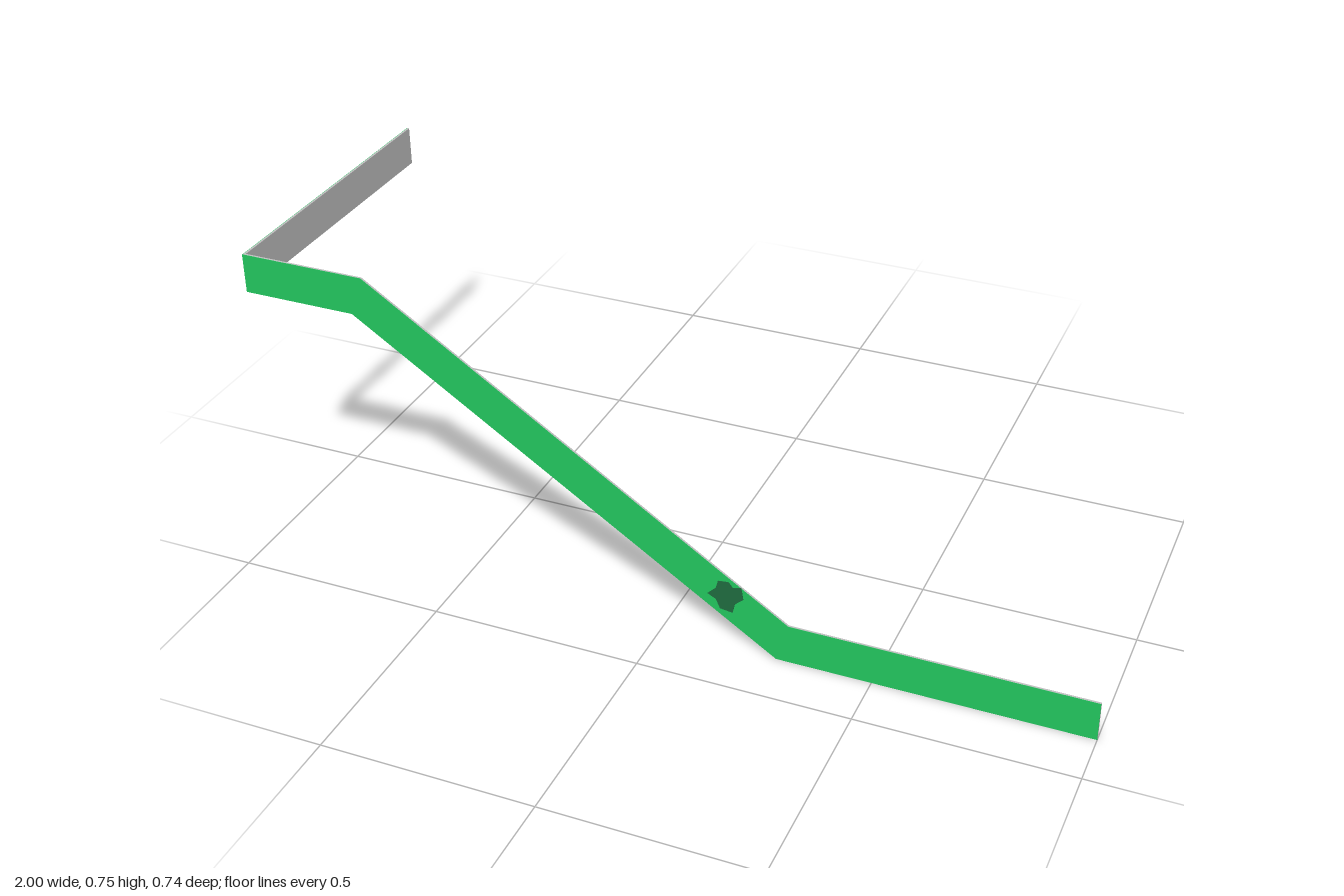
import * as THREE from 'three';

const green = new THREE.MeshStandardMaterial({ color: 0x22c55e });
green.name = 'green outer face';
const grey = new THREE.MeshStandardMaterial({ color: 0xc0c0c0 });
grey.name = 'grey backing';
const darkGreen = new THREE.MeshStandardMaterial({ color: 0x1f6b3f });
darkGreen.name = 'dark green mark';

const FRONT = 0.369, BACK = -0.369, THICK = 0.006, SKIN = 0.001;
const TOP = 0.752, UNDER = 0.658;

// Flat plate with the given outline, filling z0 to z1
function plate(name, points, z0, z1, material) {
  const shape = new THREE.Shape(points.map(([x, y]) => new THREE.Vector2(x, y)));
  const geometry = new THREE.ExtrudeGeometry(shape, { depth: z1 - z0, bevelEnabled: false });
  geometry.translate(0, 0, z0);
  const mesh = new THREE.Mesh(geometry, material);
  mesh.name = name;
  return mesh;
}

// Box given by its lower and upper corners
function slab(name, [x0, y0, z0], [x1, y1, z1], material) {
  const geometry = new THREE.BoxGeometry(x1 - x0, y1 - y0, z1 - z0);
  geometry.translate((x0 + x1) / 2, (y0 + y1) / 2, (z0 + z1) / 2);
  const mesh = new THREE.Mesh(geometry, material);
  mesh.name = name;
  return mesh;
}

export function createModel() {
  const group = new THREE.Group();
  group.name = 'steppedBand';

  // Long band: high landing, slope, low landing
  const band = [
    [-1, UNDER], [-0.73, UNDER], [0.278, 0], [1, 0],
    [1, 0.096], [0.305, 0.096], [-0.70, TOP], [-1, TOP],
  ];
  group.add(plate('frontBandBacking', band, FRONT - THICK, FRONT - SKIN, grey));
  group.add(plate('frontBandFace', band, FRONT - SKIN, FRONT, green));

  // Return band running back from the high end
  const zEnd = FRONT - THICK;
  group.add(slab('sideBandBacking', [-1 + SKIN, UNDER, BACK], [-1 + THICK, TOP, zEnd], grey));
  group.add(slab('sideBandFace', [-1, UNDER, BACK], [-1 + SKIN, TOP, zEnd], green));
  // Green skin over the end of the long band at the corner
  group.add(slab('cornerFace', [-1 - SKIN / 2, UNDER, zEnd], [-1, TOP, FRONT], green));

  // Small rough patch near the foot of the slope
  const patch = [
    [0.115, 0.135], [0.135, 0.125], [0.145, 0.102], [0.175, 0.098], [0.18, 0.122],
    [0.2, 0.14], [0.195, 0.17], [0.175, 0.165], [0.165, 0.178], [0.14, 0.175], [0.135, 0.155],
  ];
  group.add(plate('roughPatch', patch, FRONT, FRONT + 0.001, darkGreen));

  return group;
}
